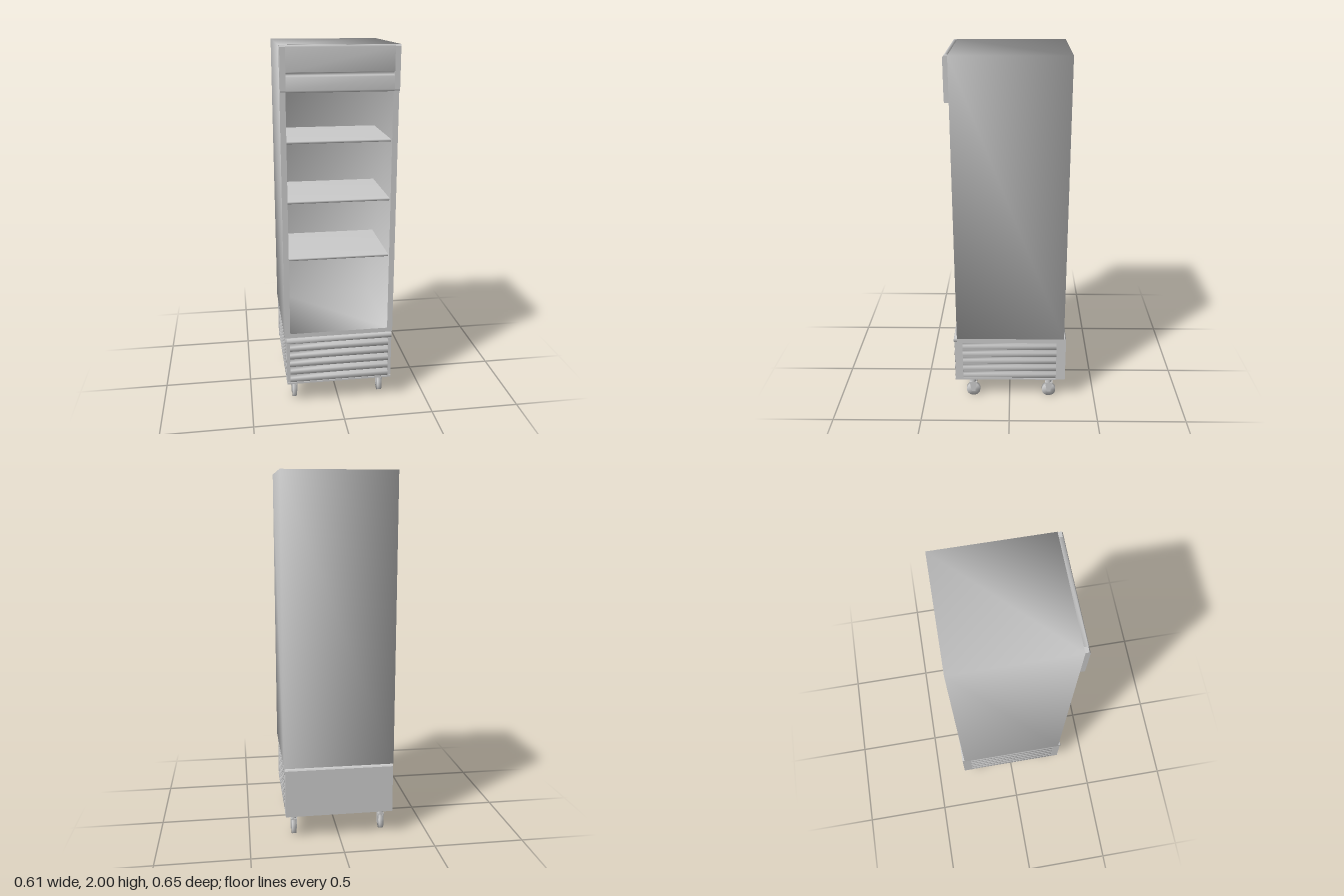
import * as THREE from 'three';
import { mergeVertices } from 'three/addons/utils/BufferGeometryUtils.js';

const mat = new THREE.MeshStandardMaterial({ color: 0xcccccc, side: THREE.DoubleSide });

function add(parent, name, geo, x = 0, y = 0, z = 0) {
  const m = new THREE.Mesh(geo, mat);
  m.name = name;
  m.position.set(x, y, z);
  parent.add(m);
  return m;
}

// box given by its min and max corners
function box(parent, name, x0, x1, y0, y1, z0, z1) {
  return add(parent, name, new THREE.BoxGeometry(x1 - x0, y1 - y0, z1 - z0),
    (x0 + x1) / 2, (y0 + y1) / 2, (z0 + z1) / 2);
}

function group(parent, name) {
  const g = new THREE.Group();
  g.name = name;
  parent.add(g);
  return g;
}

// weld corners so the shading flows over the edges
function soften(geo) {
  geo.deleteAttribute('uv');
  geo.deleteAttribute('normal');
  const welded = mergeVertices(geo, 1e-4);
  welded.computeVertexNormals();
  return welded;
}

// five-sided box open at the front, softly shaded; inward faces its inside
function openBox(x, y0, y1, back, front, inward) {
  const pos = [];
  for (const z of [back, front]) pos.push(-x, y0, z, x, y0, z, x, y1, z, -x, y1, z);
  const index = [0, 2, 1, 0, 3, 2];
  for (let a = 0; a < 4; a++) {
    const b = (a + 1) % 4;
    index.push(a, b, b + 4, a, b + 4, a + 4);
  }
  if (inward) index.reverse();
  const geo = new THREE.BufferGeometry();
  geo.setAttribute('position', new THREE.Float32BufferAttribute(pos, 3));
  geo.setIndex(index);
  geo.computeVertexNormals();
  return geo;
}

// profile of [outward, height] points run horizontally; angle picks the face it sits on
const FRONT = -Math.PI / 2, LEFT = 0, RIGHT = Math.PI;
function run(points, length, angle) {
  const shape = new THREE.Shape(points.map(p => new THREE.Vector2(...p)));
  const geo = new THREE.ExtrudeGeometry(shape, { depth: length, bevelEnabled: false });
  geo.translate(0, 0, -length / 2);
  geo.rotateY(angle);
  return geo;
}

function rect(target, x0, x1, y0, y1) {
  target.moveTo(x0, y0);
  target.lineTo(x1, y0);
  target.lineTo(x1, y1);
  target.lineTo(x0, y1);
  target.closePath();
  return target;
}

function makeCaster(parent, x, z) {
  const g = group(parent, 'caster');
  g.position.set(x, 0, z);
  const wheel = new THREE.CylinderGeometry(0.04, 0.04, 0.024, 28);
  wheel.rotateZ(Math.PI / 2);
  add(g, 'wheel', soften(wheel), 0, 0.045, 0);
  // tapered fork cheeks
  for (const s of [-1, 1]) {
    const cheek = run([[-0.01, 0.034], [0.01, 0.034], [0.022, 0.1], [-0.022, 0.1]], 0.004, FRONT);
    add(g, 'forkCheek', cheek, s * 0.0155, 0, 0);
  }
  box(g, 'forkCrown', -0.0175, 0.0175, 0.093, 0.1, -0.022, 0.022);
  add(g, 'swivel', new THREE.CylinderGeometry(0.018, 0.018, 0.02, 16), 0, 0.109, 0);
}

export function createModel() {
  const model = new THREE.Group();
  model.name = 'displayFridge';

  // hollow cabinet, open at the front
  const cabinet = group(model, 'cabinet');
  add(cabinet, 'cabinetShell', openBox(0.305, 0.415, 2, -0.31, 0.3, false));
  add(cabinet, 'interior', openBox(0.275, 0.44, 1.79, -0.25, 0.3, true));
  const rim = rect(new THREE.Shape(), -0.305, 0.305, 0.415, 2);
  rim.holes.push(rect(new THREE.Path(), -0.275, 0.275, 0.44, 1.79));
  add(cabinet, 'openingFrame', new THREE.ShapeGeometry(rim), 0, 0, 0.3);

  // wide flat shelves
  for (const y of [0.87, 1.19, 1.51])
    add(model, 'shelf', soften(new THREE.BoxGeometry(0.55, 0.012, 0.43)), 0, y, 0.06);

  // header with a long horizontal groove
  const header = group(model, 'header');
  const plain = [[0.3, 1.77], [0.323, 1.77], [0.325, 1.78], [0.325, 1.99], [0.319, 2], [0.3, 2]];
  const grooved = [...plain.slice(0, 3), [0.325, 1.845], [0.312, 1.852], [0.308, 1.866],
    [0.325, 1.869], ...plain.slice(3)];
  add(header, 'headerPanel', soften(run(grooved, 0.55, FRONT)));
  for (const s of [-1, 1]) add(header, 'headerEnd', run(plain, 0.028, FRONT), s * 0.289, 0, 0);

  // machine housing below the cabinet
  const base = group(model, 'base');
  box(base, 'baseCore', -0.288, 0.288, 0.145, 0.412, -0.3, 0.29);
  box(base, 'baseRear', -0.3, 0.3, 0.138, 0.405, -0.323, -0.27);
  const rearCap = [[0.27, 0.405], [0.323, 0.405], [0.318, 0.412], [0.305, 0.415], [0.27, 0.415]];
  add(base, 'rearTopEdge', run(rearCap, 0.6, -FRONT));
  box(base, 'baseBottomRim', -0.298, 0.298, 0.135, 0.145, -0.27, 0.318);
  const rail = [[0.27, 0.385], [0.312, 0.385], [0.319, 0.392], [0.319, 0.407], [0.312, 0.415], [0.27, 0.415]];
  add(base, 'topRailFront', soften(run(rail, 0.596, FRONT)));
  for (const s of [-1, 1]) {
    const x = s * 0.2885;
    box(base, 'topRailSide', x - 0.0105, x + 0.0105, 0.385, 0.415, -0.27, 0.3);
    box(base, 'cornerPost', x - 0.0095, x + 0.0095, 0.14, 0.39, 0.27, 0.314);
  }

  // louvre slats on the front and both sides
  const slat = (inner, outer, y) => [[inner, y], [outer, y + 0.003], [outer, y + 0.03], [inner, y + 0.047]];
  for (let i = 0; i < 5; i++) {
    const y = 0.145 + i * 0.048;
    add(base, 'frontSlat', soften(run(slat(0.285, 0.318, y), 0.56, FRONT)));
    add(base, 'leftSlat', soften(run(slat(0.284, 0.298, y), 0.54, LEFT)));
    add(base, 'rightSlat', soften(run(slat(0.284, 0.298, y), 0.54, RIGHT)));
  }

  // underside plate and swivel casters
  box(model, 'undersidePlate', -0.272, 0.272, 0.117, 0.137, -0.265, 0.255);
  for (const x of [-0.25, 0.25]) for (const z of [-0.232, 0.215]) makeCaster(model, x, z);

  // casters rest on the ground
  model.traverse(o => { if (o.name === 'caster') o.position.y = -0.005; });
  return model;
}
